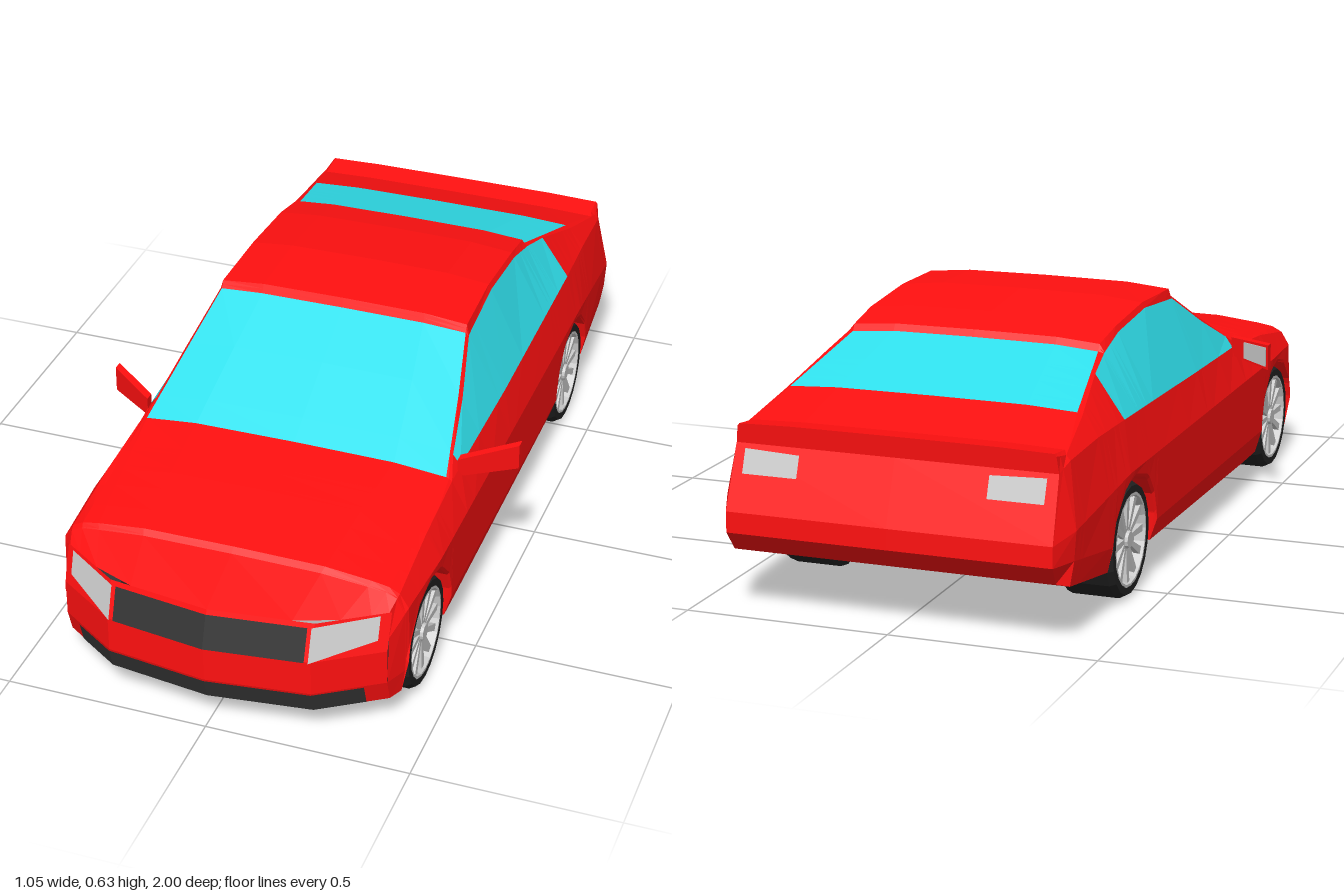
import * as THREE from 'three';

const mat = (color) => new THREE.MeshStandardMaterial({ color, flatShading: true });
const red = mat(0xff1010), cyan = mat(0x30e0ec), dark = mat(0x333333), rubber = mat(0x222222), grey = mat(0xcccccc);

// Piecewise-linear lookup in rows of [key, value, value...], keys descending
function at(table, k) {
  if (k >= table[0][0]) return table[0].slice(1);
  for (let i = 1; i < table.length; i++) {
    const a = table[i - 1], b = table[i];
    if (k >= b[0]) {
      const t = (a[0] - k) / (a[0] - b[0]);
      return a.slice(1).map((v, j) => v + (b[j + 1] - v) * t);
    }
  }
  return table[table.length - 1].slice(1);
}

// Collects quads, each mirrored across x = 0
class Panel {
  constructor() { this.v = []; }
  quad(a, b, c, d) {
    const m = (p) => [-p[0], p[1], p[2]];
    for (const [p, q, r, s] of [[a, b, c, d], [m(d), m(c), m(b), m(a)]]) this.v.push(...p, ...q, ...r, ...p, ...r, ...s);
  }
  mesh(name, material) {
    const g = new THREE.BufferGeometry();
    g.setAttribute('position', new THREE.Float32BufferAttribute(this.v, 3));
    g.computeVertexNormals();
    const mesh = new THREE.Mesh(g, material);
    mesh.name = name;
    return mesh;
  }
}

const FRONT = 0.87, REAR = -0.95, AXLES = [0.66, -0.55], ARCH = 0.152, HUB_Y = 0.142;

// Guide lines along the body, rows of [z, x, y]
const floorLine = [[0.87, 0.08], [0.4, 0.08], [-0.4, 0.095], [-0.7, 0.105], [-0.93, 0.14], [-0.95, 0.145]];
const sill = [[0.87, 0.4], [0.8, 0.42], [-0.7, 0.42], [-0.93, 0.41], [-0.95, 0.38]];
const lower = [[0.87, 0.4, 0.14], [0.8, 0.43, 0.14], [0.6, 0.438, 0.14], [-0.6, 0.438, 0.15], [-0.93, 0.42, 0.2], [-0.95, 0.395, 0.2]];
const upper = [[0.87, 0.4, 0.26], [0.8, 0.427, 0.31], [0.6, 0.44, 0.315], [-0.6, 0.44, 0.315], [-0.93, 0.425, 0.27], [-0.95, 0.395, 0.25]];
const belt = [[0.87, 0.395, 0.32], [0.8, 0.405, 0.345], [0.6, 0.402, 0.378], [0.4, 0.4, 0.395], [0.34, 0.402, 0.402], [0, 0.41, 0.415],
  [-0.56, 0.41, 0.43], [-0.73, 0.405, 0.43], [-0.9, 0.4, 0.42], [-0.95, 0.39, 0.4]];
const windowTop = [[0.87, 0.36, 0.32], [0.8, 0.38, 0.358], [0.4, 0.392, 0.4], [0.2, 0.36, 0.497], [0.05, 0.327, 0.585], [-0.15, 0.322, 0.602],
  [-0.35, 0.322, 0.585], [-0.46, 0.326, 0.56], [-0.56, 0.338, 0.533], [-0.73, 0.367, 0.477], [-0.9, 0.39, 0.432], [-0.95, 0.385, 0.44]];
const roofEdge = [[0.87, 0.3, 0.32], [0.8, 0.34, 0.365], [0.4, 0.385, 0.403], [0.2, 0.35, 0.508], [0.055, 0.32, 0.592], [0.045, 0.32, 0.61],
  [-0.15, 0.315, 0.615], [-0.35, 0.315, 0.598], [-0.455, 0.312, 0.578], [-0.465, 0.312, 0.562], [-0.73, 0.355, 0.484], [-0.88, 0.38, 0.438], [-0.95, 0.38, 0.446]];
const crown = [[0.87, 0.32], [0.8, 0.38], [0.6, 0.406], [0.4, 0.418], [0.2, 0.525], [0.055, 0.6], [0.045, 0.622], [-0.15, 0.628],
  [-0.35, 0.61], [-0.455, 0.588], [-0.465, 0.572], [-0.73, 0.492], [-0.88, 0.443], [-0.95, 0.45]];

// Curve of the nose and slope of the tail
const noseZ = (x, y) => at([[0.4, 0.87], [0.25, 0.968], [0, 1]], Math.abs(x))[0] - at([[0.32, 0.03], [0.23, 0], [0.14, 0], [0.08, 0.02]], y)[0];
const tailZ = (y) => at([[0.45, -0.95], [0.4, -0.945], [0.25, -1], [0.2, -1], [0.145, -0.94]], y)[0];

// Half cross-section from floor centre, through wheel well and side, to roof centre
function section(z) {
  const [yf] = at(floorLine, z), [top] = at(crown, z);
  let yb = yf;
  for (const c of AXLES) if (Math.abs(z - c) < ARCH) yb = HUB_Y + Math.sqrt(ARCH ** 2 - (z - c) ** 2);
  const low = at(lower, z), edge = at(roofEdge, z);
  const pts = [[0, yf], [0.275, yf], [0.275, yb], [yb > yf ? 0.432 : at(sill, z)[0], yb], [low[0], Math.max(low[1], yb + 0.008)],
    at(upper, z), at(belt, z), at(windowTop, z), edge, [edge[0] * 0.66, top - (top - edge[1]) * 0.15], [0, top]];
  return pts.map(([x, y]) => [x, y, z === FRONT ? noseZ(x, y) : z === REAR ? tailZ(y) : z]);
}

function buildBody(car) {
  const zs = new Set([floorLine, lower, upper, belt, windowTop, roofEdge, crown].flat().map((r) => r[0]));
  for (const c of AXLES) for (const k of [-1.01, -0.99, -0.87, -0.5, 0, 0.5, 0.87, 0.99, 1.01]) zs.add(c + k * ARCH);
  const stations = [...zs].sort((a, b) => b - a);
  const rings = stations.map(section);
  const body = new Panel(), screen = new Panel(), rearGlass = new Panel(), sideGlass = new Panel();
  for (let i = 0; i < rings.length - 1; i++) {
    const z = (stations[i] + stations[i + 1]) / 2;
    for (let j = 0; j < 10; j++) {
      let part = body;
      if (j >= 8 && z < 0.4 && z > 0.055) part = screen;
      if (j >= 8 && z < -0.465 && z > -0.73) part = rearGlass;
      if (j === 6 && z < 0.34 && z > -0.56) part = sideGlass;
      part.quad(rings[i][j], rings[i + 1][j], rings[i + 1][j + 1], rings[i][j + 1]);
    }
  }
  // Tail panel
  const last = rings[rings.length - 1], mid = (p) => [0, p[1], p[2]];
  for (let j = 0; j < 10; j++) body.quad(mid(last[j]), mid(last[j + 1]), last[j + 1], last[j]);
  // Nose panel
  nosePatch(body, [0, 0.25, 0.4], [0.08, 0.14, 0.23, 0.32], 0);
  car.add(body.mesh('body', red), screen.mesh('windscreen', cyan), rearGlass.mesh('rearWindow', cyan), sideGlass.mesh('sideWindows', cyan));
}

function nosePatch(panel, xs, ys, lift) {
  const p = (x, y) => [x, y, noseZ(x, y) + lift];
  for (let i = 0; i < xs.length - 1; i++) for (let j = 0; j < ys.length - 1; j++)
    panel.quad(p(xs[i], ys[j]), p(xs[i + 1], ys[j]), p(xs[i + 1], ys[j + 1]), p(xs[i], ys[j + 1]));
}

function buildTrim(car) {
  const grille = new Panel(), intake = new Panel(), head = new Panel(), tail = new Panel();
  nosePatch(grille, [0, 0.235], [0.23, 0.31], 0.004);
  nosePatch(intake, [0, 0.25, 0.355], [0.083, 0.138], 0.004);
  const h = (x, y) => [x, y, noseZ(x, y) + 0.006];
  head.quad(h(0.245, 0.23), h(0.38, 0.262), h(0.38, 0.318), h(0.245, 0.312));
  const t = (x, y) => [x, y, tailZ(y) - 0.004];
  tail.quad(t(0.23, 0.335), t(0.23, 0.385), t(0.365, 0.39), t(0.365, 0.335));
  car.add(grille.mesh('grille', dark), intake.mesh('lowerIntake', dark), head.mesh('headlights', grey), tail.mesh('tailLights', grey));
}

// Swept-back door mirror with a reflective plate behind
function buildMirror(side) {
  const mirror = new THREE.Group();
  mirror.name = side > 0 ? 'leftMirror' : 'rightMirror';
  for (const [name, w, hgt, d, dx, dz, m] of [['mirrorShell', 0.125, 0.056, 0.024, 0, 0, red], ['mirrorGlass', 0.075, 0.044, 0.004, 0.018, -0.013, grey]]) {
    const g = new THREE.BoxGeometry(w, hgt, d).translate(dx, 0, dz);
    const p = g.attributes.position;
    for (let i = 0; i < p.count; i++) {
      const x = p.getX(i);
      p.setZ(i, p.getZ(i) - x * 0.75);
      p.setY(i, p.getY(i) * (1 + x * 2.5));
    }
    g.computeVertexNormals();
    const part = new THREE.Mesh(g, m);
    part.name = name;
    mirror.add(part);
  }
  // A half turn keeps the winding intact, so the sweep is mirrored by a negative scale
  mirror.scale.x = side;
  mirror.position.set(side * 0.4625, 0.406, 0.3);
  return mirror;
}

function buildWheel(name) {
  const wheel = new THREE.Group();
  wheel.name = name;
  const add = (label, geo, m) => {
    const mesh = new THREE.Mesh(geo, m);
    mesh.name = label;
    wheel.add(mesh);
    return mesh;
  };
  const lathe = (pts) => new THREE.LatheGeometry(pts.map(([x, y]) => new THREE.Vector2(x, y)), 20);
  add('tyre', lathe([[0, -0.07], [0.125, -0.07], [0.138, -0.058], [0.138, 0.056], [0.13, 0.07], [0.112, 0.07]]), rubber);
  add('rim', lathe([[0.113, 0.07], [0.106, 0.07], [0.1, 0.045], [0, 0.045]]), grey);
  add('hub', new THREE.CylinderGeometry(0.02, 0.026, 0.024, 12).translate(0, 0.056, 0), grey);
  for (let i = 0; i < 12; i++) {
    const g = new THREE.CylinderGeometry(0.013, 0.008, 0.086, 4, 1).rotateY(Math.PI / 4).scale(1, 1, 0.8).translate(0, 0.061, 0);
    g.rotateX(Math.PI / 2).translate(0, 0.056, 0).rotateY((i * Math.PI) / 6);
    add('spoke', g, grey);
  }
  return wheel;
}

export function createModel() {
  const car = new THREE.Group();
  car.name = 'car';
  buildBody(car);
  buildTrim(car);
  for (const side of [1, -1]) {
    car.add(buildMirror(side));
    AXLES.forEach((z, i) => {
      const wheel = buildWheel((i ? 'rear' : 'front') + (side > 0 ? 'Left' : 'Right') + 'Wheel');
      wheel.rotation.z = (-side * Math.PI) / 2;
      wheel.position.set(side * 0.355, 0.14, z);
      car.add(wheel);
    });
  }
  return car;
}
